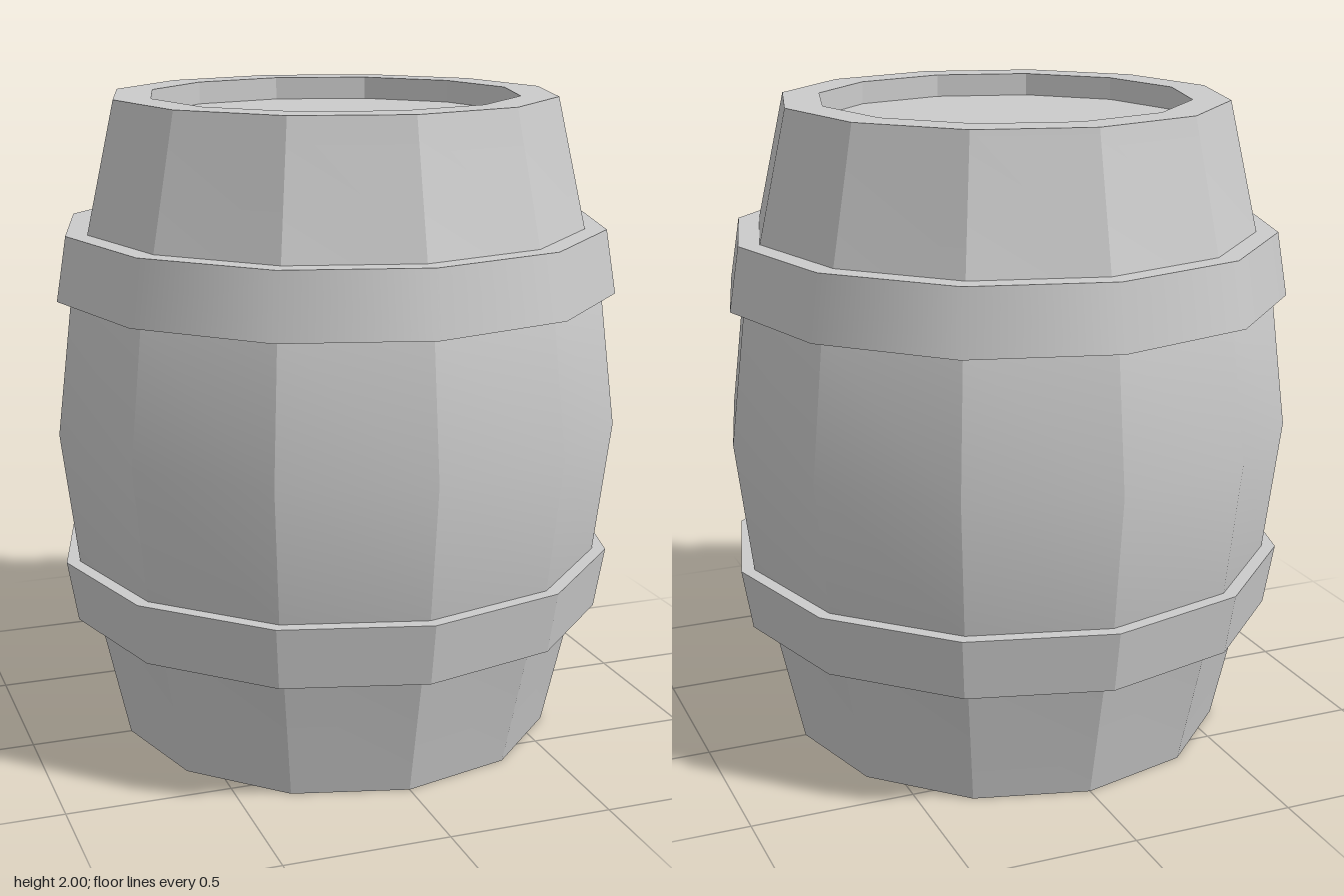
import * as THREE from 'three';
import { mergeGeometries } from 'three/addons/utils/BufferGeometryUtils.js';

const SIDES = 12;
const STEP = (Math.PI * 2) / SIDES;
const grey = new THREE.MeshStandardMaterial({ color: 0xcccccc });

// Profiles are [radius, height], running so that the outside is on the right
const toPoints = (profile) => profile.map(([r, y]) => new THREE.Vector2(r, y));

// Twelve flat staves, each shaded smoothly only along its own height
function staves(profile) {
  const strips = [];
  for (let i = 0; i < SIDES; i++) {
    const strip = new THREE.LatheGeometry(toPoints(profile), 1, i * STEP, STEP);
    strip.computeVertexNormals();
    strips.push(strip);
  }
  return mergeGeometries(strips);
}

// Each profile segment is faceted, with hard edges between segments
function faceted(profile) {
  const geo = new THREE.LatheGeometry(toPoints(profile), SIDES).toNonIndexed();
  geo.computeVertexNormals();
  return geo;
}

export function createModel() {
  const barrel = new THREE.Group();
  barrel.name = 'barrel';
  const add = (name, geometry) => {
    const mesh = new THREE.Mesh(geometry, grey);
    mesh.name = name;
    barrel.add(mesh);
  };

  // Bulging wooden wall
  add('staves', staves([
    [0.685, 0], [0.775, 0.4], [0.83, 0.59], [0.88, 1],
    [0.83, 1.41], [0.775, 1.6], [0.685, 2],
  ]));

  // Rims with the lids sunk into them
  add('topLid', faceted([[0.685, 2], [0.57, 2], [0.57, 1.93], [0, 1.93]]));
  add('bottomLid', faceted([[0, 0.07], [0.57, 0.07], [0.57, 0], [0.685, 0]]));

  // Lower hoop, faceted like the staves
  add('lowerHoop', faceted([[0.77, 0.4], [0.84, 0.4], [0.872, 0.59], [0.825, 0.59]]));

  // Upper hoop, its outer band shaded as one round surface
  add('upperHoop', new THREE.LatheGeometry(toPoints([[0.872, 1.41], [0.84, 1.605]]), SIDES));
  add('upperHoopUnderside', faceted([[0.825, 1.41], [0.872, 1.41]]));
  add('upperHoopLedge', faceted([[0.84, 1.605], [0.77, 1.605]]));

  return barrel;
}
